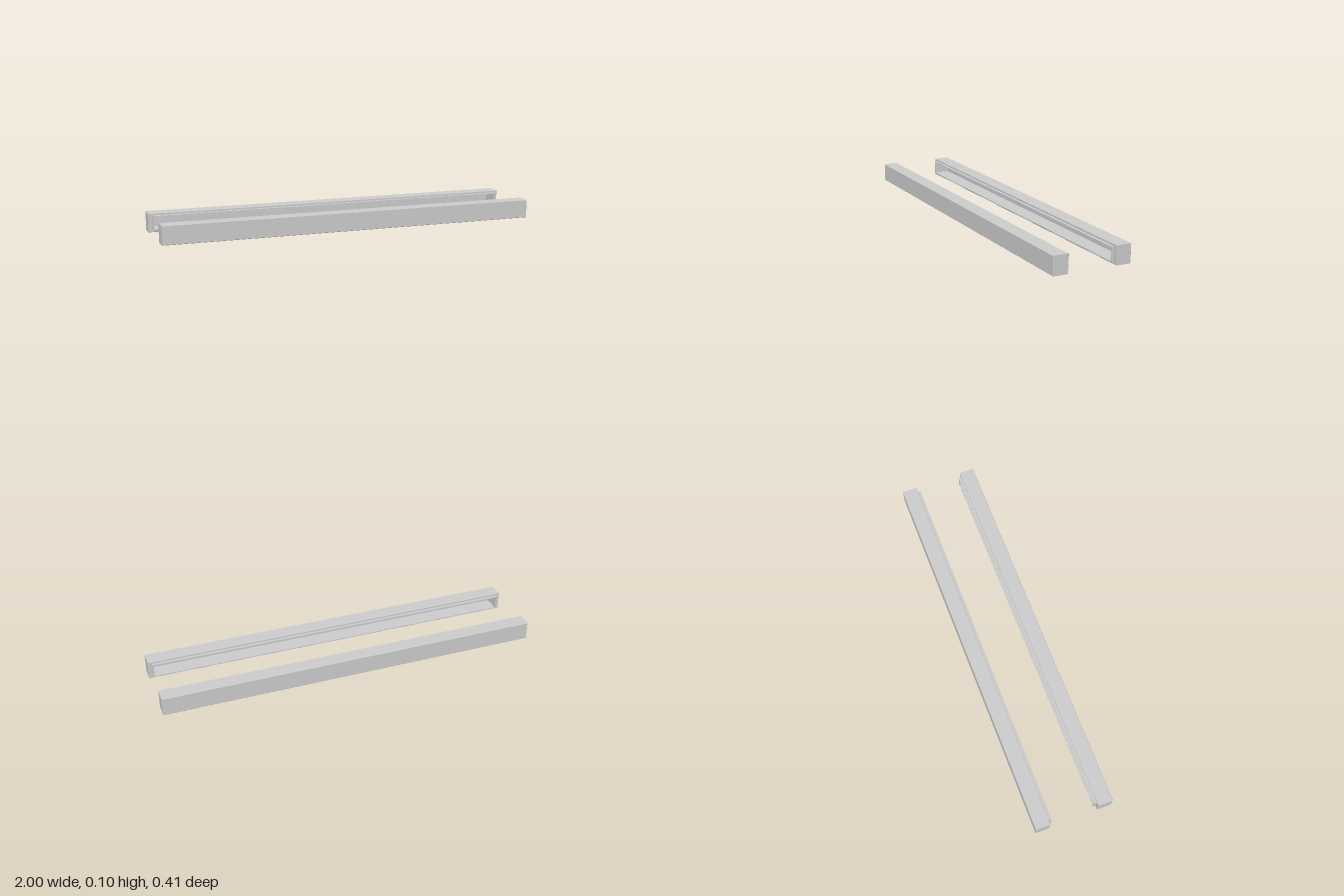
import * as THREE from 'three';

const HEIGHT = 0.097;

// Skins a series of centred rectangles [halfX, halfY, z], each joined to the next; z must run from the back outwards.
function loftRectangles(rings, capStart, capEnd) {
  const points = [];
  const corners = rings.map(([x, y, z]) => [[-x, -y, z], [x, -y, z], [x, y, z], [-x, y, z]]);
  const quad = (a, b, c, d) => points.push(...a, ...b, ...c, ...a, ...c, ...d);
  for (let i = 0; i < corners.length - 1; i++) {
    const p = corners[i], q = corners[i + 1];
    for (let k = 0; k < 4; k++) {
      const n = (k + 1) % 4;
      quad(p[k], p[n], q[n], q[k]);
    }
  }
  if (capStart) quad(...[...corners[0]].reverse());
  if (capEnd) quad(...corners[corners.length - 1]);
  const geometry = new THREE.BufferGeometry();
  geometry.setAttribute('position', new THREE.Float32BufferAttribute(points, 3));
  geometry.computeVertexNormals();
  return geometry;
}

// A hollow bar whose open side faces +z
function createRail(name) {
  const material = new THREE.MeshStandardMaterial({ color: 0xcccccc, flatShading: true });
  const rail = new THREE.Group();
  rail.name = name;
  const add = (part, rings, capStart, capEnd) => {
    const mesh = new THREE.Mesh(loftRectangles(rings, capStart, capEnd), material);
    mesh.name = part;
    mesh.position.y = HEIGHT / 2;
    rail.add(mesh);
  };

  const h = HEIGHT / 2, bevel = 0.002;
  // Outer casing with fine bevels, ending at the foot of the lip
  add('casing', [
    [1 - bevel, h - bevel, -0.206],
    [1, h, -0.206 + bevel],
    [1, h, -0.128 - bevel],
    [1 - bevel, h - bevel, -0.128],
    [0.98, 0.038, -0.128],
  ], true, false);
  // Raised lip around the opening, turning into the deep inner channel
  add('lipAndChannel', [
    [0.98, 0.038, -0.128],
    [0.98, 0.038, -0.115],
    [0.979, 0.037, -0.114],
    [0.973, 0.032, -0.114],
    [0.973, 0.032, -0.198],
  ], false, true);
  return rail;
}

export function createModel() {
  const model = new THREE.Group();
  model.name = 'railPair';
  const front = createRail('frontRail');
  front.rotation.y = Math.PI;
  model.add(createRail('backRail'), front);
  return model;
}
